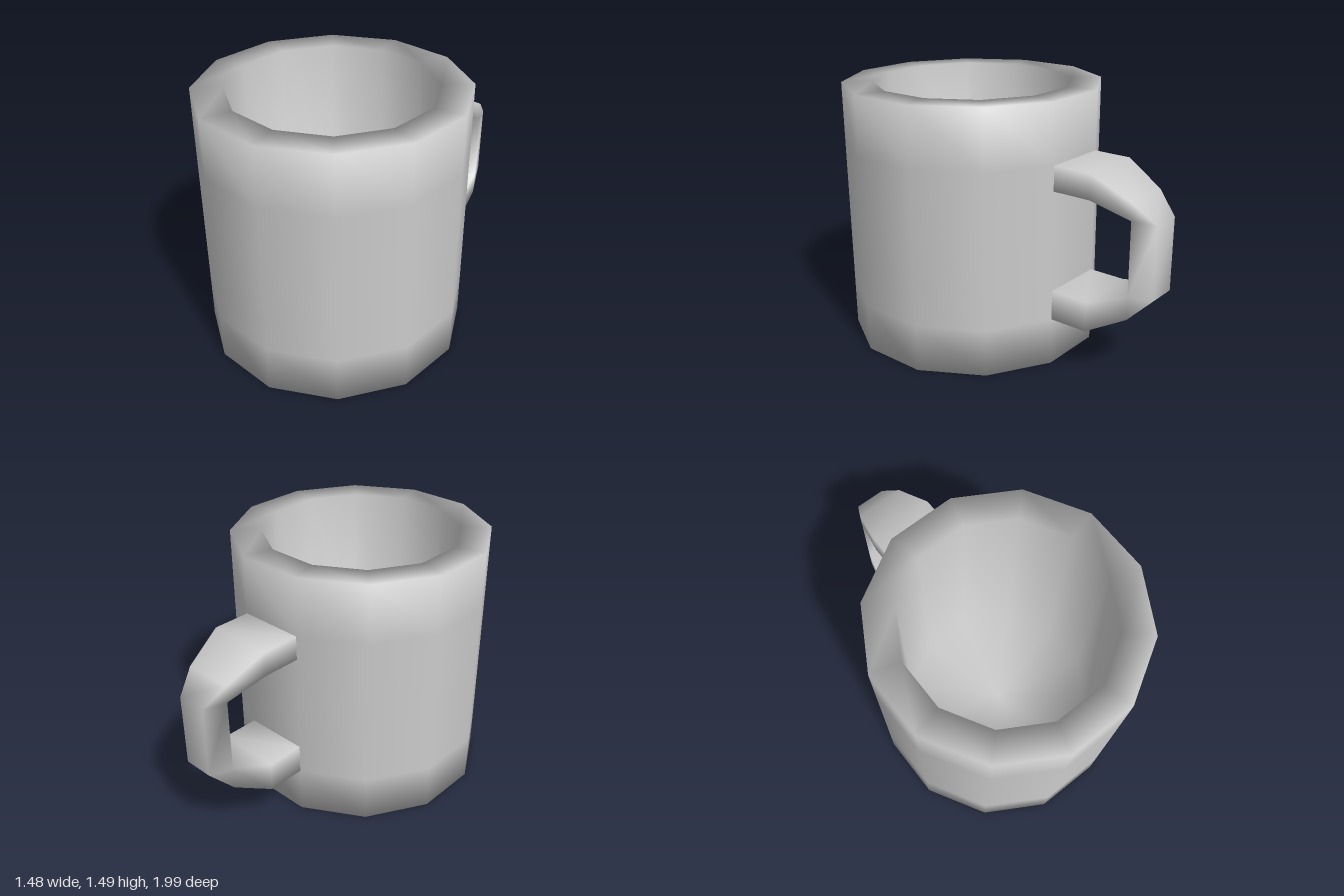
import * as THREE from 'three';
import { mergeVertices } from 'three/addons/utils/BufferGeometryUtils.js';

const material = new THREE.MeshStandardMaterial({ color: 0xcccccc, side: THREE.DoubleSide });
const SIDES = 12, RADIUS = 0.74, CENTRE_Z = 0.255;

// Thick-walled cup with smooth shading over the rim and base
function makeCup() {
  const profile = [
    [0, 0], [RADIUS, 0], [RADIUS, 0.27], [RADIUS, 0.44], [RADIUS, 1.01], [RADIUS, 1.15], [RADIUS, 1.485],
    [0.565, 1.485], [0.565, 0.17], [0, 0.17],
  ].map(([r, y]) => new THREE.Vector2(r, y));
  const cup = new THREE.Mesh(new THREE.LatheGeometry(profile, SIDES), material);
  cup.name = 'cup';
  cup.position.z = CENTRE_Z;
  return cup;
}

// Handle swept as four-cornered sections, out from one wall panel and back to it
function makeHandle() {
  // Each section: outer [distance, y, half width], inner [distance, y, half width]
  const sections = [
    [[0, 1.15, 0.19], [0, 1.01, 0.19]],
    [[0.22, 1.15, 0.19], [0.22, 1.01, 0.19]],
    [[0.442, 1.03, 0.142], [0.442, 0.935, 0.142]],
    [[0.56, 0.92, 0.088], [0.442, 0.935, 0.142]],
    [[0.56, 0.51, 0.088], [0.442, 0.515, 0.142]],
    [[0.442, 0.39, 0.142], [0.442, 0.515, 0.142]],
    [[0.22, 0.27, 0.19], [0.22, 0.44, 0.19]],
    [[0, 0.27, 0.19], [0, 0.44, 0.19]],
  ];
  const positions = [], index = [];
  sections.forEach(([[od, oy, ow], [id, iy, iw]], s) => {
    positions.push(-ow, oy, -od, ow, oy, -od, iw, iy, -id, -iw, iy, -id);
    if (s === sections.length - 1) return;
    for (let k = 0; k < 4; k++) {
      const a = s * 4 + k, b = s * 4 + (k + 1) % 4;
      index.push(a, b, b + 4, a, b + 4, a + 4);
    }
  });
  let geometry = new THREE.BufferGeometry();
  geometry.setAttribute('position', new THREE.Float32BufferAttribute(positions, 3));
  geometry.setIndex(index);
  geometry = mergeVertices(geometry);
  geometry.computeVertexNormals();

  const handle = new THREE.Mesh(geometry, material);
  handle.name = 'handle';
  // Centre of the wall panel just left of the back corner
  const angle = Math.PI / SIDES, apothem = RADIUS * Math.cos(angle);
  handle.position.set(apothem * Math.sin(angle), 0, CENTRE_Z - apothem * Math.cos(angle));
  handle.rotation.y = -angle;
  return handle;
}

export function createModel() {
  const mug = new THREE.Group();
  mug.name = 'mug';
  mug.add(makeCup(), makeHandle());
  return mug;
}
